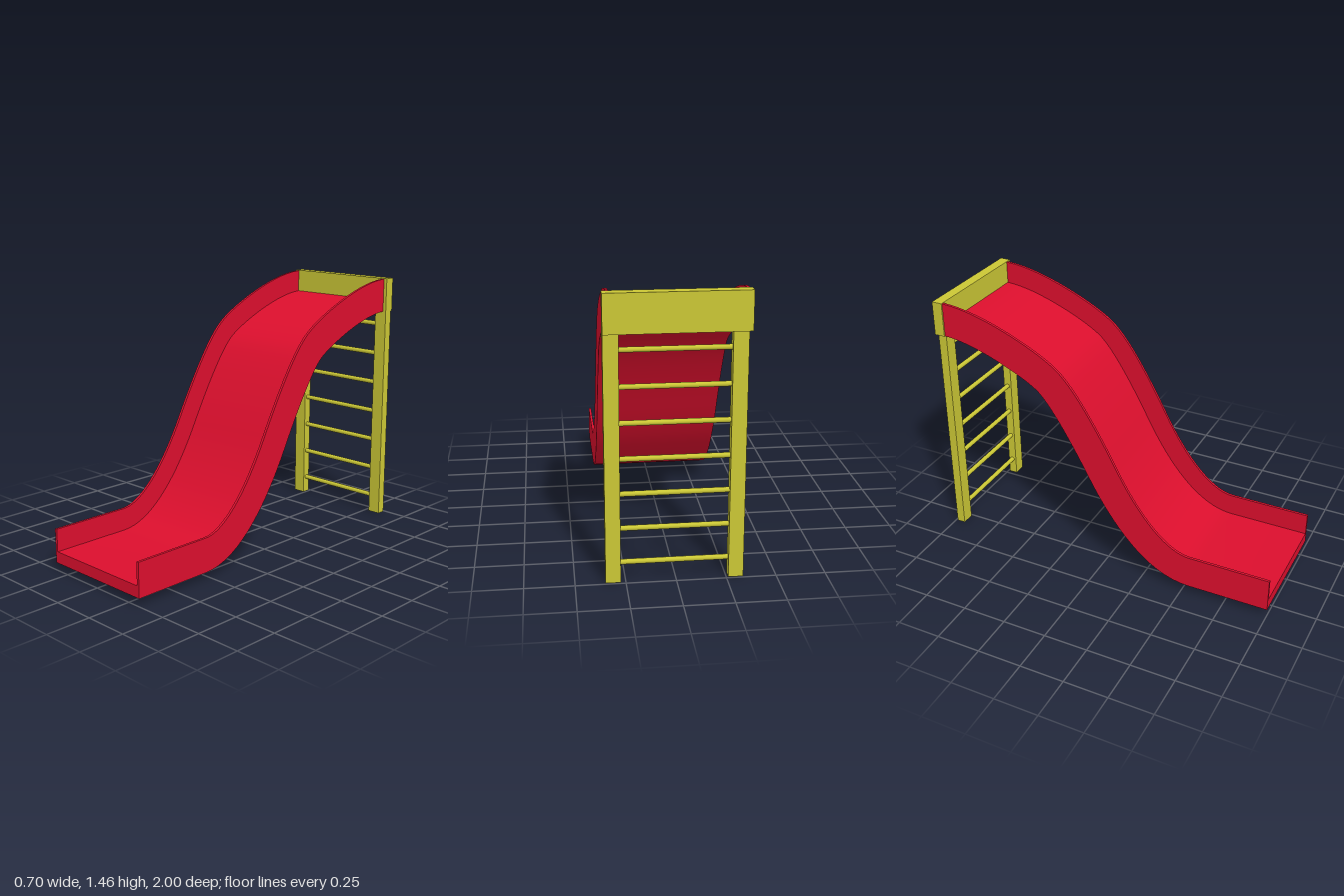
import * as THREE from 'three';
import { toCreasedNormals } from 'three/addons/utils/BufferGeometryUtils.js';

const red = new THREE.MeshStandardMaterial({ color: 0xdc0f2d });
const yellow = new THREE.MeshStandardMaterial({ color: 0xcbc735 });

// Underside of the chute, drawn in the plane (-z, y) from the exit to the top
function chuteLine() {
  const path = new THREE.Path();
  path.moveTo(-1, 0.043);
  path.lineTo(-0.54, 0.043);
  path.bezierCurveTo(-0.28, 0.043, -0.07, 0.325, 0.07, 0.59);
  path.bezierCurveTo(0.163, 0.767, 0.297, 1.0, 0.377, 1.06);
  path.bezierCurveTo(0.46, 1.122, 0.75, 1.255, 0.94, 1.26);
  return path.getPoints(16);
}

// Band of constant thickness above the line, extruded from x0 to x1
function band(name, line, thickness, x0, x1) {
  const last = line.length - 1;
  const upper = line.map((p, i) => {
    const t = line[Math.min(i + 1, last)].clone().sub(line[Math.max(i - 1, 0)]).normalize();
    // the two ends are cut upright
    if (i === 0 || i === last) t.set(1, 0);
    return new THREE.Vector2(p.x - t.y * thickness, p.y + t.x * thickness);
  });
  const shape = new THREE.Shape([...line, ...upper.reverse()]);
  let geo = new THREE.ExtrudeGeometry(shape, { depth: x1 - x0, bevelEnabled: false });
  geo.rotateY(Math.PI / 2).translate(x0, 0, 0);
  geo = toCreasedNormals(geo, 0.6);
  const mesh = new THREE.Mesh(geo, red);
  mesh.name = name;
  return mesh;
}

// Box given by its limits on each axis
function box(name, [x0, x1], [y0, y1], [z0, z1]) {
  const mesh = new THREE.Mesh(new THREE.BoxGeometry(x1 - x0, y1 - y0, z1 - z0), yellow);
  mesh.position.set((x0 + x1) / 2, (y0 + y1) / 2, (z0 + z1) / 2);
  mesh.name = name;
  return mesh;
}

export function createModel() {
  const model = new THREE.Group();
  model.name = 'slide';

  // Chute: bed between two side walls
  const chute = new THREE.Group();
  chute.name = 'chute';
  const line = chuteLine();
  chute.add(
    band('bed', line, 0.065, -0.33, 0.315),
    band('rightWall', line, 0.192, -0.345, -0.33),
    band('leftWall', line, 0.192, 0.315, 0.33)
  );
  model.add(chute);

  // Ladder: two posts, top board and rungs
  const ladder = new THREE.Group();
  ladder.name = 'ladder';
  ladder.add(
    box('rightPost', [-0.335, -0.26], [0, 1.262], [-0.99, -0.94]),
    box('leftPost', [0.275, 0.35], [0, 1.262], [-0.99, -0.94]),
    box('topBoard', [-0.352, 0.35], [1.26, 1.455], [-1, -0.94])
  );
  const rungGeo = new THREE.CylinderGeometry(0.0135, 0.0135, 0.56, 12).rotateZ(Math.PI / 2);
  for (let i = 0; i < 7; i++) {
    const rung = new THREE.Mesh(rungGeo, yellow);
    rung.position.set(0.0075, 0.1 + i * 0.18, -0.965);
    rung.name = 'rung' + (i + 1);
    ladder.add(rung);
  }
  model.add(ladder);

  return model;
}
